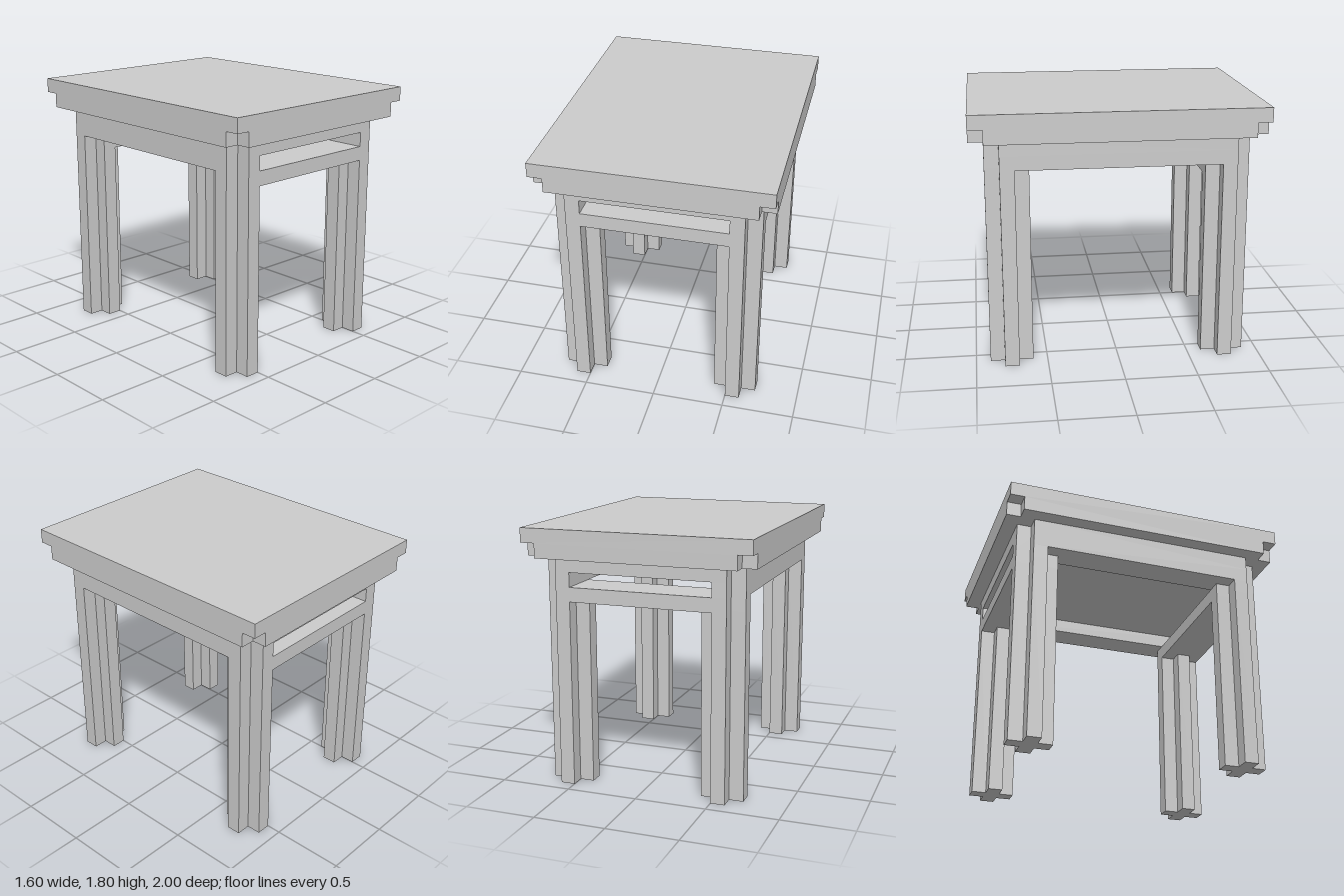
import * as THREE from 'three';

const material = new THREE.MeshStandardMaterial({ color: 0xcccccc, flatShading: true });

// Upright slab from y0 to y1 whose plan is a rectangle with square-notched corners
function notchedSlab(name, halfX, halfZ, y0, y1, notch = 0.1) {
  const a = halfX, b = halfZ, n = notch;
  const plan = [
    [a - n, -b], [a - n, -b + n], [a, -b + n], [a, b - n], [a - n, b - n], [a - n, b],
    [n - a, b], [n - a, b - n], [-a, b - n], [-a, n - b], [n - a, n - b], [n - a, -b],
  ].map(([x, z]) => new THREE.Vector2(x, z));
  const geometry = new THREE.ExtrudeGeometry(new THREE.Shape(plan), { depth: y1 - y0, bevelEnabled: false });
  geometry.rotateX(-Math.PI / 2);
  const mesh = new THREE.Mesh(geometry, material);
  mesh.position.y = y0;
  mesh.name = name;
  return mesh;
}

// Box given by its limits on each axis
function block(name, [x0, x1], [y0, y1], [z0, z1]) {
  const mesh = new THREE.Mesh(new THREE.BoxGeometry(x1 - x0, y1 - y0, z1 - z0), material);
  mesh.position.set((x0 + x1) / 2, (y0 + y1) / 2, (z0 + z1) / 2);
  mesh.name = name;
  return mesh;
}

// Limits mirrored to the given side
const span = (side, lo, hi) => (side > 0 ? [lo, hi] : [-hi, -lo]);

export function createModel() {
  const table = new THREE.Group();
  table.name = 'table';

  // Table top, with small notches under its corners
  table.add(block('tableTop', [-0.8, 0.8], [1.7, 1.8], [-1, 1]));
  table.add(notchedSlab('tableTopRim', 0.8, 1, 1.6, 1.7));

  // Upper layer of the apron
  table.add(notchedSlab('apronTop', 0.7, 0.9, 1.5, 1.6));

  for (const s of [1, -1]) {
    // Side rails, and the wide lower rails at front and back
    table.add(block('sideRail', span(s, 0.5, 0.7), [1.4, 1.5], [-0.8, 0.8]));
    table.add(block(s > 0 ? 'frontRail' : 'backRail', [-0.6, 0.6], [1.3, 1.4], span(s, 0.6, 0.9)));

    for (const t of [1, -1]) {
      // Cross-shaped leg
      const leg = notchedSlab(t > 0 ? 'frontLeg' : 'backLeg', 0.15, 0.15, 0, 1.3);
      leg.position.x = s * 0.55;
      leg.position.z = t * 0.75;
      table.add(leg);

      // Outer arms of the leg carried up to the apron
      table.add(block('legSideArm', span(s, 0.6, 0.7), [1.3, 1.4], span(t, 0.7, 0.8)));
      table.add(block('legEndArm', span(s, 0.5, 0.6), [1.4, 1.5], span(t, 0.8, 0.9)));
    }
  }
  return table;
}
